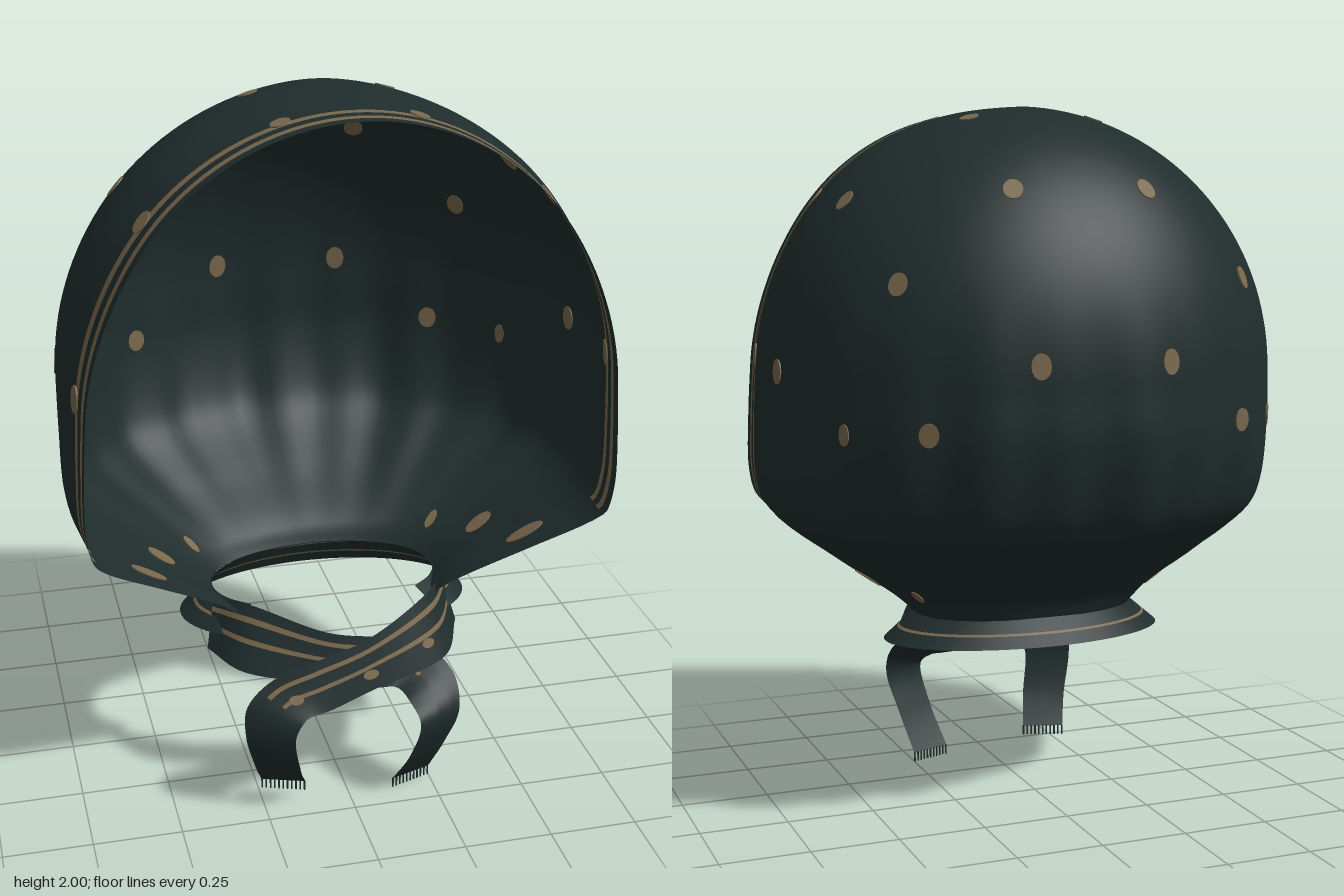
import * as THREE from 'three';

const V = (x, y, z) => new THREE.Vector3(x, y, z);
const { lerp, smoothstep } = THREE.MathUtils;

// Smooth sheet from a grid of points; cells where isTrim is true use the second material
function sheet(rows, cols, pointAt, isTrim) {
  const pos = [], plain = [], trim = [];
  for (let i = 0; i <= rows; i++)
    for (let j = 0; j <= cols; j++) pos.push(...pointAt(i, j).toArray());
  for (let i = 0; i < rows; i++)
    for (let j = 0; j < cols; j++) {
      const a = i * (cols + 1) + j, b = a + 1, c = a + cols + 1, d = c + 1;
      (isTrim(i, j) ? trim : plain).push(a, c, b, b, c, d);
    }
  const g = new THREE.BufferGeometry();
  g.setAttribute('position', new THREE.Float32BufferAttribute(pos, 3));
  g.setIndex([...plain, ...trim]);
  g.addGroup(0, plain.length, 0);
  g.addGroup(plain.length, trim.length, 1);
  g.computeVertexNormals();
  return g;
}

export function createModel() {
  const model = new THREE.Group();
  model.name = 'headscarf';
  const cloth = new THREE.MeshStandardMaterial({ color: 0x202d2d, side: THREE.DoubleSide });
  cloth.name = 'dark teal cloth';
  const gold = new THREE.MeshStandardMaterial({ color: 0x7b694d, side: THREE.DoubleSide });
  gold.name = 'dull gold print';
  const add = (name, geometry, material, parent = model) => {
    const m = new THREE.Mesh(geometry, material);
    m.name = name;
    parent.add(m);
    return m;
  };

  // Hood: horizontal U-shaped sections, open to the front
  const lower = new THREE.CatmullRomCurve3([ // half width, height, back z
    V(0.33, 0.545, -0.1), V(0.39, 0.6, -0.13), V(0.56, 0.72, -0.29), V(0.72, 0.85, -0.44),
    V(0.745, 0.93, -0.485), V(0.75, 1.1, -0.53), V(0.75, 1.25, -0.53)]);
  const LOW = 36, HIGH = 40, BACK = 72, SIDE = 6;
  const rim = [0, 0.035, 0.06, 0.09, 0.115]; // stripe edges measured from the rim
  const edge = rim.length - 1 + SIDE, cols = 2 * edge + BACK;

  function hoodPoint(i, j) {
    let w, y, zb;
    if (i <= LOW) {
      const p = lower.getPoint(i / LOW);
      [w, y, zb] = [p.x, p.y, p.z];
    } else {
      const a = (i - LOW) / HIGH * Math.PI / 2;
      [w, y, zb] = [0.75 * Math.cos(a), 1.25 + 0.75 * Math.sin(a), 0.1 - 0.63 * Math.cos(a)];
    }
    const low = smoothstep(y, 0.55, 0.86);
    const zf = lerp(0.28, 0.505, Math.min(1, (y - 0.545) / 0.315));
    const zc = lerp(0.1, 0.2, low);
    if (j >= edge && j <= edge + BACK) {
      // Rounded back, fuller on the diagonals, with gathered pleats
      const t = (j - edge) / BACK * Math.PI;
      const k = (1 - smoothstep(y, 0.85, 1.6)) * smoothstep(y, 0.55, 0.8) * Math.sin(t);
      const f = 1 + 0.028 * Math.sin(2 * t) ** 2
        + k * (0.014 * Math.sin(11 * t + 0.8) + 0.014 * Math.cos(22 * t));
      return V(w * Math.cos(t) * f, y, zc - (zc - zb) * Math.sin(t) * f);
    }
    // Side walls, drawn in towards the rim
    const right = j > edge, n = right ? cols - j : j;
    const z = n < rim.length ? zf - rim[n]
      : lerp(zf - rim[rim.length - 1], zc, (n - rim.length + 1) / SIDE);
    const s = smoothstep(z, zc, zf);
    const x = w * (1 - lerp(0.14, lerp(0.03, 0.085, smoothstep(y, 0.9, 1.75)), low) * s);
    return V(right ? -x : x, y - 0.008 * s * smoothstep(y, 1.7, 2), z);
  }
  const hoodGeo = sheet(LOW + HIGH, cols, hoodPoint, (i, j) => {
    const n = Math.min(j, cols - 1 - j);
    return (n === 1 || n === 3) && hoodPoint(i, 0).y > 0.84;
  });
  add('hood', hoodGeo, [cloth, gold]);

  // Printed dots: thin discs laid through the cloth so they show on both sides
  const dots = new THREE.Group();
  dots.name = 'printedDots';
  model.add(dots);
  const disc = new THREE.CylinderGeometry(0.027, 0.027, 0.006, 16).rotateX(Math.PI / 2);
  const v = V(), best = V(), normal = V();
  function dot(x, y, z, tall = 1.2, wide = 1, geo = hoodGeo) {
    const target = V(x, y, z), P = geo.attributes.position;
    let d = Infinity;
    for (let i = 0; i < P.count; i++) {
      v.fromBufferAttribute(P, i);
      const e = v.distanceToSquared(target);
      if (e < d) {
        d = e;
        best.copy(v);
        normal.fromBufferAttribute(geo.attributes.normal, i);
      }
    }
    const m = add('dot', disc, gold, dots);
    m.position.copy(target).addScaledVector(normal, -target.sub(best).dot(normal));
    m.lookAt(m.position.clone().add(normal));
    m.scale.set(wide, tall, 1);
  }
  for (const s of [1, -1]) {
    dot(s * 0.19, 1.97, 0.02, 1);
    dot(s * 0.56, 1.745, 0.02);
    dot(s * 0.74, 1.27, 0.06, 1.3);
    dot(s * 0.19, 1.76, -0.32);
    dot(s * 0.5, 1.52, -0.3);
    dot(s * 0.185, 1.315, -0.51, 1.3);
    dot(s * 0.63, 1.125, -0.23, 1.1, 0.6);
    dot(s * 0.455, 1.135, -0.4);
    dot(s * 0.56, 0.695, 0.32, 2.2);
    dot(s * 0.48, 0.655, 0.1, 1.7);
    dot(s * 0.37, 0.62, -0.03, 1.2, 0.5);
    // Scallops along the striped border
    dot(s * 0.18, 1.97, 0.385, 1);
    dot(s * 0.52, 1.73, 0.385);
    dot(s * 0.72, 1.285, 0.385, 1.4);
  }

  // Ribbon lofted between an upper and a lower edge, striped along its first part
  const across = [0, 0.18, 0.27, 0.5, 0.58, 0.8, 1];
  function ribbon(name, pairs, stripes, stripedPart) {
    const a = new THREE.CatmullRomCurve3(pairs.map(p => p[0]));
    const b = new THREE.CatmullRomCurve3(pairs.map(p => p[1]));
    const steps = 60;
    const geo = sheet(steps, across.length - 1,
      (i, j) => a.getPoint(i / steps).lerp(b.getPoint(i / steps), across[j]),
      (i, j) => stripes.includes(j) && i < steps * stripedPart);
    add(name, geo, [cloth, gold]);
    return geo;
  }

  // Flared band around the nape
  const band = [];
  for (let i = 0; i <= 16; i++) {
    const t = lerp(-0.75, Math.PI + 0.75, i / 16), c = Math.cos(t), s = Math.sin(t);
    band.push([V(0.33 * c, 0.55, 0.1 - 0.2 * s), V(0.425 * c, 0.47, 0.1 - 0.24 * s)]);
  }
  ribbon('neckBand', band, [3], 1);

  // Two ties crossing at the throat, with fringed hanging ends
  const fringe = new THREE.Group();
  fringe.name = 'fringe';
  model.add(fringe);
  const thread = new THREE.BoxGeometry(0.004, 0.03, 0.004);
  for (const s of [1, -1]) {
    const under = s > 0 ? 0 : 1; // the second tie passes underneath
    const end = s > 0 ? 0.06 : 0.028;
    const pair = (ax, ay, az, bx, by, bz, tuck = 0) =>
      [V(s * ax, ay, az - under * tuck), V(s * bx, by, bz - under * tuck)];
    const tie = ribbon(under ? 'underTie' : 'overTie', [
      pair(0.34, 0.55, 0.17, 0.37, 0.42, 0.23),
      pair(0.25, 0.565, 0.32, 0.29, 0.395, 0.39, 0.05),
      pair(0.05, 0.505, 0.43, 0.06, 0.365, 0.47, 0.06),
      pair(-0.12, 0.47, 0.465, -0.08, 0.335, 0.505, 0.09),
      pair(-0.24, 0.425, 0.465, -0.14, 0.33, 0.52, 0.1),
      pair(-0.305, 0.36, 0.475, -0.165, 0.31, 0.53, 0.05),
      pair(-0.31, 0.27, 0.475, -0.18, 0.27, 0.53),
      pair(-0.28, 0.15, 0.445, -0.16, 0.15, 0.5),
      pair(-0.25, end, 0.385, -0.13, end, 0.425)], [1, 3], 0.55);
    if (!under) {
      dot(0.23, 0.44, 0.38, 0.5, 0.8, tie);
      dot(0.05, 0.405, 0.45, 0.5, 0.9, tie);
      dot(-0.17, 0.375, 0.49, 0.5, 0.8, tie);
    }
    for (let i = 0; i < 11; i++)
      add('thread', thread, cloth, fringe)
        .position.set(s * (-0.248 + i * 0.0116), end - 0.013, 0.385 + i * 0.004);
  }
  return model;
}
